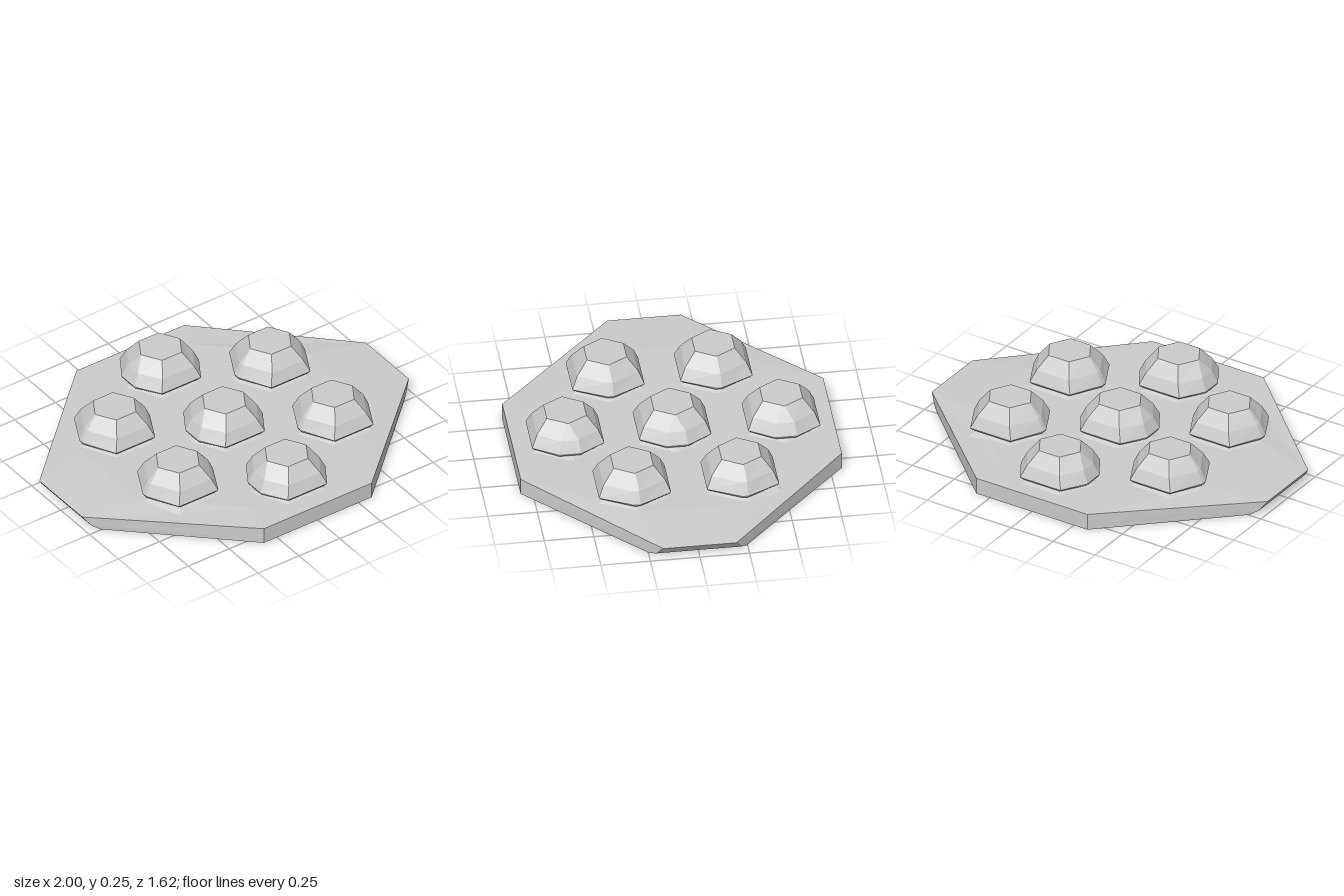
import * as THREE from 'three';

// Eight-sided ring, symmetric in x and z, counter-clockwise from above.
// Corners on the sides sit at (x, zs, ySide), those at the ends at (xs, z, yEnd).
function ring(x, zs, xs, z, ySide, yEnd = ySide) {
  return [
    [x, ySide, zs], [x, ySide, -zs], [xs, yEnd, -z], [-xs, yEnd, -z],
    [-x, ySide, -zs], [-x, ySide, zs], [-xs, yEnd, z], [xs, yEnd, z],
  ];
}

// Closed, faceted solid through rings listed from bottom to top.
function loft(rings, topY) {
  const pos = [];
  const tri = (...corners) => corners.forEach((c) => pos.push(...c));
  const n = rings[0].length;
  const first = rings[0], last = rings[rings.length - 1];
  for (let i = 0; i < n; i++) {
    const j = (i + 1) % n;
    for (let k = 0; k < rings.length - 1; k++) {
      const a = rings[k], b = rings[k + 1];
      tri(a[i], a[j], b[j]);
      tri(a[i], b[j], b[i]);
    }
    tri([0, first[0][1], 0], first[j], first[i]);
    tri([0, topY, 0], last[i], last[j]);
  }
  const geo = new THREE.BufferGeometry();
  geo.setAttribute('position', new THREE.Float32BufferAttribute(pos, 3));
  geo.computeVertexNormals();
  return geo;
}

export function createModel() {
  const group = new THREE.Group();
  const material = new THREE.MeshStandardMaterial({ color: 0xcccccc, flatShading: true });
  const add = (name, geo, x = 0, z = 0) => {
    const mesh = new THREE.Mesh(geo, material);
    mesh.name = name;
    mesh.position.set(x, 0, z);
    group.add(mesh);
  };

  // Octagonal plate with undercut sides and a slightly raised top
  add('basePlate', loft([
    ring(0.93, 0.245, 0.33, 0.81, 0),
    ring(0.965, 0.215, 0.33, 0.81, 0.02),
    ring(1, 0.185, 0.33, 0.81, 0.07, 0.088),
    ring(0.7, 0.25, 0.26, 0.66, 0.091),
  ], 0.089));

  // Hexagonal studs: the middle row has blunted side corners
  const stud = (rx, blunt) => loft([
    ring(rx - 0.005, blunt, 0.112, 0.175, 0.111),
    ring(rx, blunt, 0.12, 0.182, 0.122),
    ring(rx - 0.03, blunt * 0.8, 0.096, 0.155, 0.185),
    ring(0.118, 0.002, 0.06, 0.1, 0.255),
  ], 0.255);
  const middleStud = stud(0.198, 0.055);
  const sideStud = stud(0.205, 0.015);

  // Low swelling of the plate beneath each stud
  const swelling = loft([
    ring(0.23, 0.01, 0.125, 0.2, 0.08),
    ring(0.18, 0.01, 0.1, 0.16, 0.1),
  ], 0.1);

  for (const z of [-0.55, 0, 0.54]) {
    add('middleStud', middleStud, 0, z);
    add('plateSwelling', swelling, 0, z);
  }
  for (const x of [-0.475, 0.475]) {
    for (const z of [-0.275, 0.27]) {
      add('sideStud', sideStud, x, z);
      add('plateSwelling', swelling, x, z);
    }
  }
  return group;
}
